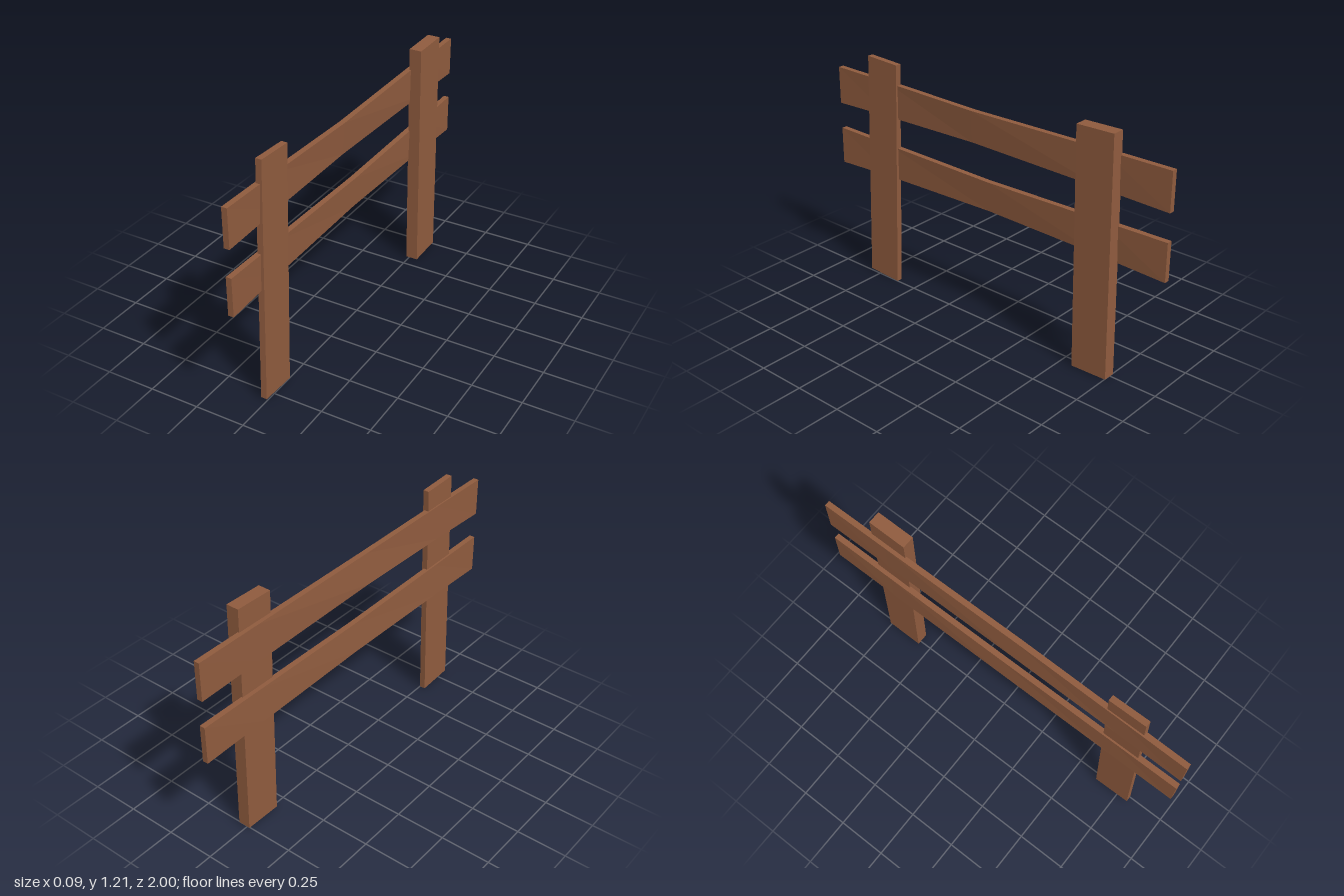
import * as THREE from 'three';

const wood = new THREE.MeshStandardMaterial({ color: 0x8f5b3e, flatShading: true });

// Loft four-cornered sections [[x, y, z] x 4] into a closed board.
// Corners run counter-clockwise seen from the side the sections advance towards.
function loft(name, sections) {
  const pos = [];
  const quad = (a, b, c, d) => [a, b, c, a, c, d].forEach((p) => pos.push(...p));
  for (let s = 0; s < sections.length - 1; s++) {
    const p = sections[s], q = sections[s + 1];
    for (let i = 0; i < 4; i++) {
      const j = (i + 1) % 4;
      quad(p[i], p[j], q[j], q[i]);
    }
  }
  quad(...[...sections[0]].reverse());
  quad(...sections[sections.length - 1]);
  const geometry = new THREE.BufferGeometry();
  geometry.setAttribute('position', new THREE.Float32BufferAttribute(pos, 3));
  geometry.computeVertexNormals();
  const mesh = new THREE.Mesh(geometry, wood);
  mesh.name = name;
  return mesh;
}

// Leaning post: a side outline of [z, y] corners, given thickness from x0 to x1
function post(name, outline, x0, x1) {
  const face = (x) => outline.map(([z, y]) => [x, y, z]);
  return loft(name, [face(x0), face(x1)]);
}

// Rail: stations of [z, bottom y, top y, bottom x, top x], x being the outer face
function rail(name, stations, t = 0.028) {
  return loft(name, stations.map(([z, y0, y1, xb, xt]) => [
    [xb, y0, z], [xb + t, y0, z], [xt + t, y1, z], [xt, y1, z],
  ]));
}

export function createModel() {
  const group = new THREE.Group();
  group.name = 'fence';

  // Posts: a thin plank in front, a thick one behind
  group.add(post('frontPost',
    [[0.811, 0.01], [0.619, 0], [0.576, 1.2], [0.768, 1.208]], -0.03, 0));
  group.add(post('backPost',
    [[-0.565, 0], [-0.757, 0.005], [-0.741, 1.208], [-0.545, 1.203]], -0.018, 0.045));

  // Rails: narrowed and slightly twisted towards the middle
  group.add(rail('upperRail', [
    [-1, 0.903, 1.096, -0.04, -0.04],
    [-0.65, 0.911, 1.094, -0.041, -0.038],
    [0.1, 0.924, 1.086, -0.043, -0.031],
    [0.65, 0.914, 1.094, -0.041, -0.037],
    [1, 0.903, 1.096, -0.04, -0.04],
  ]));
  group.add(rail('lowerRail', [
    [-1, 0.573, 0.765, -0.04, -0.04],
    [-0.65, 0.584, 0.76, -0.044, -0.039],
    [0, 0.597, 0.75, -0.047, -0.037],
    [0.65, 0.586, 0.76, -0.044, -0.039],
    [1, 0.573, 0.765, -0.04, -0.04],
  ]));
  return group;
}
